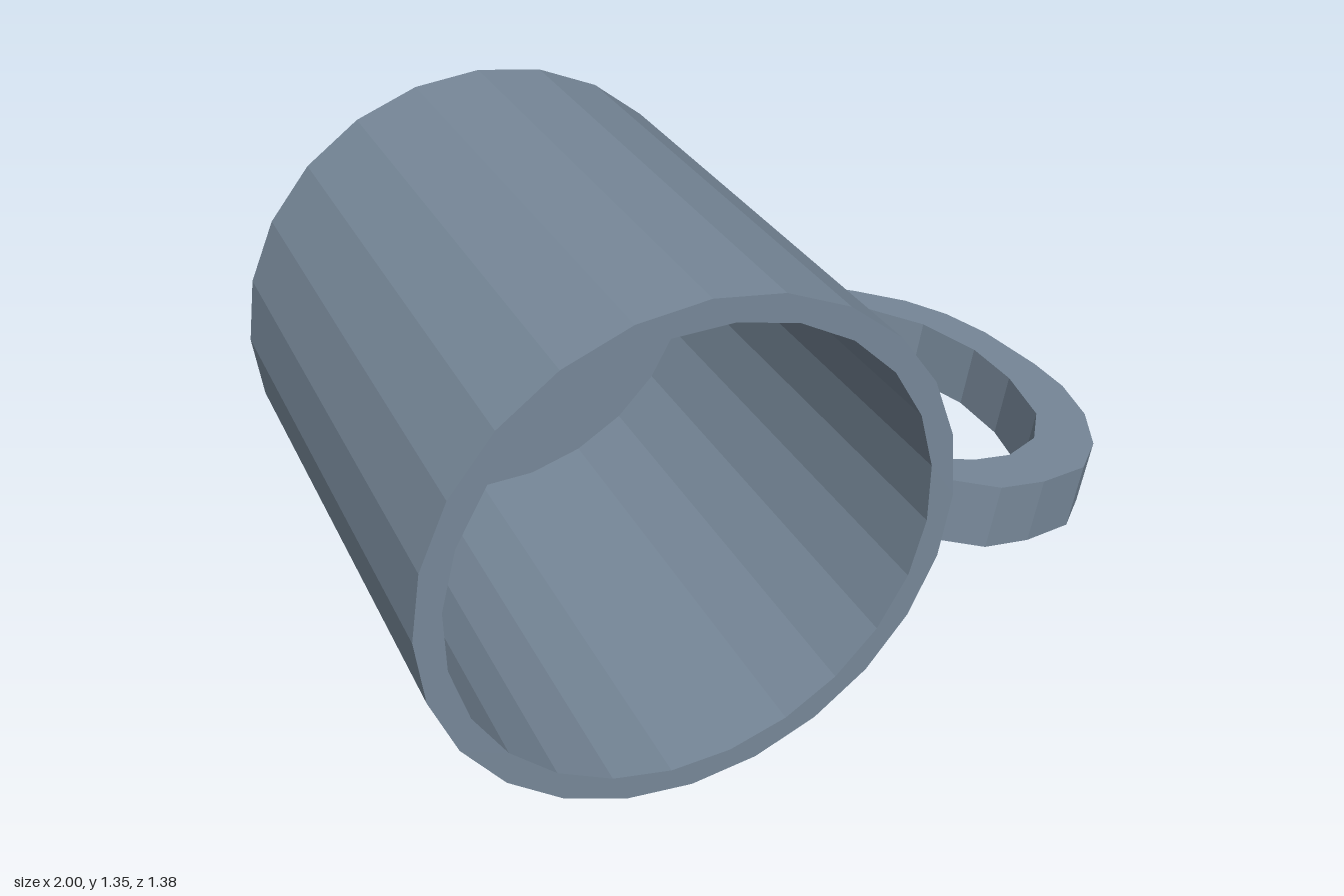
import * as THREE from 'three';

const CENTER_X = -0.327, CENTER_Y = 0.675;
const SIDES = 24;
const deg = THREE.MathUtils.degToRad;

// Cup with open front and solid base, lying along z
function makeCup(material) {
  const profile = [
    [0, -0.692], [0.675, -0.692], [0.675, 0.692],
    [0.61, 0.692], [0.61, -0.62], [0, -0.62],
  ].map(([r, y]) => new THREE.Vector2(r, y));
  const geometry = new THREE.LatheGeometry(profile, SIDES);

  // The inner facets are turned slightly against the outer ones
  const pos = geometry.attributes.position;
  const v = new THREE.Vector3();
  const up = new THREE.Vector3(0, 1, 0);
  for (let i = 0; i < pos.count; i++) {
    const inner = i % profile.length >= 3;
    v.fromBufferAttribute(pos, i).applyAxisAngle(up, deg(inner ? 7.5 : -2.1));
    pos.setXYZ(i, v.x, v.y, v.z);
  }
  geometry.rotateX(Math.PI / 2);
  geometry.computeVertexNormals();

  const cup = new THREE.Mesh(geometry, material);
  cup.name = 'cup';
  return cup;
}

// Flat curved handle, drawn as (distance from cup axis, z) and extruded
function makeHandle(material) {
  const thickness = 0.174;
  const outline = [
    // outer edge, back to front
    [0.65, -0.495], [0.855, -0.45], [1.037, -0.38], [1.17, -0.29], [1.25, -0.19],
    [1.302, -0.06], [1.332, 0.14], [1.332, 0.27], [1.292, 0.42], [1.21, 0.56],
    [1.1, 0.657], [0.947, 0.692], [0.815, 0.692], [0.65, 0.6],
    // inner edge, front to back
    [0.65, 0.508], [0.825, 0.56], [0.936, 0.56], [1.06, 0.5], [1.15, 0.39],
    [1.198, 0.2], [1.198, 0.03], [1.135, -0.14], [1.008, -0.27],
    [0.815, -0.365], [0.754, -0.375], [0.65, -0.33],
  ].map(([u, z]) => new THREE.Vector2(u, z));

  const geometry = new THREE.ExtrudeGeometry(new THREE.Shape(outline), {
    depth: thickness, bevelEnabled: false,
  });
  geometry.rotateX(Math.PI / 2);
  geometry.translate(0, thickness / 2, 0);
  geometry.rotateZ(deg(-9.7));

  const handle = new THREE.Mesh(geometry, material);
  handle.name = 'handle';
  return handle;
}

export function createModel() {
  const material = new THREE.MeshStandardMaterial({ color: 0x778899, flatShading: true });
  const mug = new THREE.Group();
  mug.name = 'mug';
  mug.add(makeCup(material), makeHandle(material));
  mug.position.set(CENTER_X, CENTER_Y, 0);

  const model = new THREE.Group();
  model.add(mug);
  return model;
}
